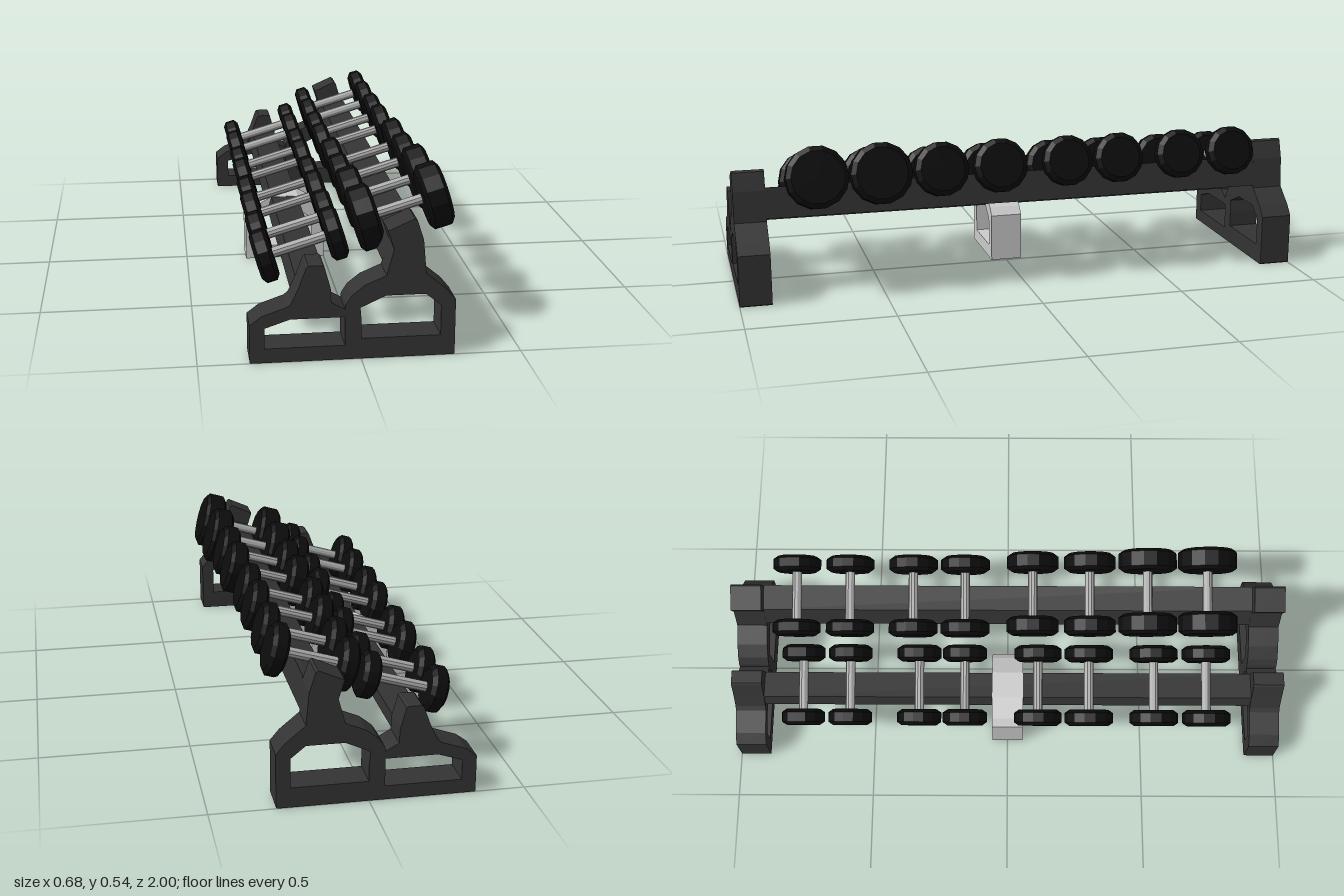
import * as THREE from 'three';

const mat = (color) => new THREE.MeshStandardMaterial({ color, flatShading: true });
const frameMat = mat(0x333333);
const rubberMat = mat(0x0c0c0c);
const steelMat = mat(0xaaaaaa);
const supportMat = mat(0xcccccc);

const TILT = THREE.MathUtils.degToRad(16.5);
const toPoints = (list) => list.map(([x, y]) => new THREE.Vector2(x, y));

// Extrudes a front outline (x, y) with optional holes, centred at z.
function plate(name, outline, holes, depth, z, material) {
  const shape = new THREE.Shape(toPoints(outline));
  for (const h of holes) shape.holes.push(new THREE.Path(toPoints(h)));
  const geo = new THREE.ExtrudeGeometry(shape, { depth, bevelEnabled: false });
  geo.translate(0, 0, z - depth / 2);
  const mesh = new THREE.Mesh(geo, material);
  mesh.name = name;
  return mesh;
}

// Dumbbell lying along its local x axis: two chamfered heads and a grip.
function dumbbell(name, r, t, span) {
  const group = new THREE.Group();
  group.name = name;
  const c = 0.012;
  const profile = toPoints([
    [0, -t / 2], [r - 0.017, -t / 2], [r, -t / 2 + c],
    [r, t / 2 - c], [r - 0.017, t / 2], [0, t / 2],
  ]);
  for (const side of [-1, 1]) {
    const head = new THREE.Mesh(new THREE.LatheGeometry(profile, 14), rubberMat);
    head.name = 'dumbbellHead';
    head.rotation.z = -Math.PI / 2;
    head.position.x = side * span / 2;
    group.add(head);
  }
  const grip = new THREE.Mesh(new THREE.CylinderGeometry(0.017, 0.017, span, 10), steelMat);
  grip.name = 'dumbbellGrip';
  grip.rotation.z = Math.PI / 2;
  group.add(grip);
  group.rotation.z = TILT;
  return group;
}

export function createModel() {
  const model = new THREE.Group();
  model.name = 'dumbbellRack';

  // End frames: a low and a high tower joined over two openings
  const endOutline = [
    [-0.341, 0.003], [-0.338, 0], [0.287, 0], [0.291, 0.004],
    [0.291, 0.18], [0.262, 0.215], [0.198, 0.268], [0.188, 0.375],
    [0.168, 0.437], [0.16, 0.443], [0.079, 0.407], [0.098, 0.347],
    [0.076, 0.266], [0.01, 0.238], [-0.03, 0.206], [-0.048, 0.178],
    [-0.05, 0.163], [-0.092, 0.187], [-0.094, 0.232], [-0.113, 0.302],
    [-0.119, 0.306], [-0.162, 0.306], [-0.168, 0.3], [-0.19, 0.24],
    [-0.213, 0.19], [-0.226, 0.178], [-0.304, 0.151], [-0.341, 0.123],
  ];
  const lowOpening = [
    [-0.295, 0.046], [-0.05, 0.046], [-0.05, 0.138], [-0.217, 0.138], [-0.295, 0.112],
  ];
  const highOpening = [
    [0.001, 0.066], [0.246, 0.066], [0.246, 0.163], [0.198, 0.202],
    [0.076, 0.202], [-0.003, 0.166], [0.001, 0.12],
  ];
  for (const s of [1, -1]) {
    model.add(plate('endFrame', endOutline, [lowOpening, highOpening], 0.11, s * 0.945, frameMat));
  }

  // Long rails between the end frames
  model.add(plate('upperRail',
    [[0.08, 0.277], [0.197, 0.277], [0.187, 0.385], [0.102, 0.36]], [], 1.78, 0, frameMat));
  model.add(plate('lowerRail',
    [[-0.205, 0.19], [-0.094, 0.19], [-0.096, 0.235], [-0.19, 0.235]], [], 1.78, 0, frameMat));

  // Middle support loop under the lower rail
  model.add(plate('middleSupport',
    [[-0.285, 0.003], [0, 0.003], [0, 0.172], [-0.025, 0.198], [-0.094, 0.236],
      [-0.19, 0.236], [-0.26, 0.198], [-0.285, 0.172]],
    [[[-0.24, 0.05], [-0.045, 0.05], [-0.045, 0.15], [-0.1, 0.19], [-0.185, 0.19], [-0.24, 0.15]]],
    0.112, 0, supportMat));

  // Lower row: [z, head radius]
  const lowerRow = [
    [-0.74, 0.078], [-0.57, 0.079], [-0.32, 0.08], [-0.155, 0.08],
    [0.11, 0.086], [0.295, 0.088], [0.53, 0.088], [0.72, 0.088],
  ];
  for (const [z, r] of lowerRow) {
    const d = dumbbell('lowerDumbbell', r, 0.058, 0.232);
    d.position.set(-0.16, 0.28, z);
    model.add(d);
  }

  // Upper row: [z, head radius, head thickness, centre x]
  const upperRow = [
    [-0.765, 0.087, 0.056, 0.14], [-0.572, 0.087, 0.056, 0.14],
    [-0.343, 0.088, 0.058, 0.14], [-0.155, 0.089, 0.058, 0.14],
    [0.09, 0.094, 0.066, 0.15], [0.297, 0.094, 0.066, 0.15],
    [0.507, 0.106, 0.076, 0.157], [0.725, 0.107, 0.08, 0.16],
  ];
  for (const [z, r, t, x] of upperRow) {
    const d = dumbbell('upperDumbbell', r, t, 0.231);
    d.position.set(x, 0.397, z);
    model.add(d);
  }

  return model;
}
